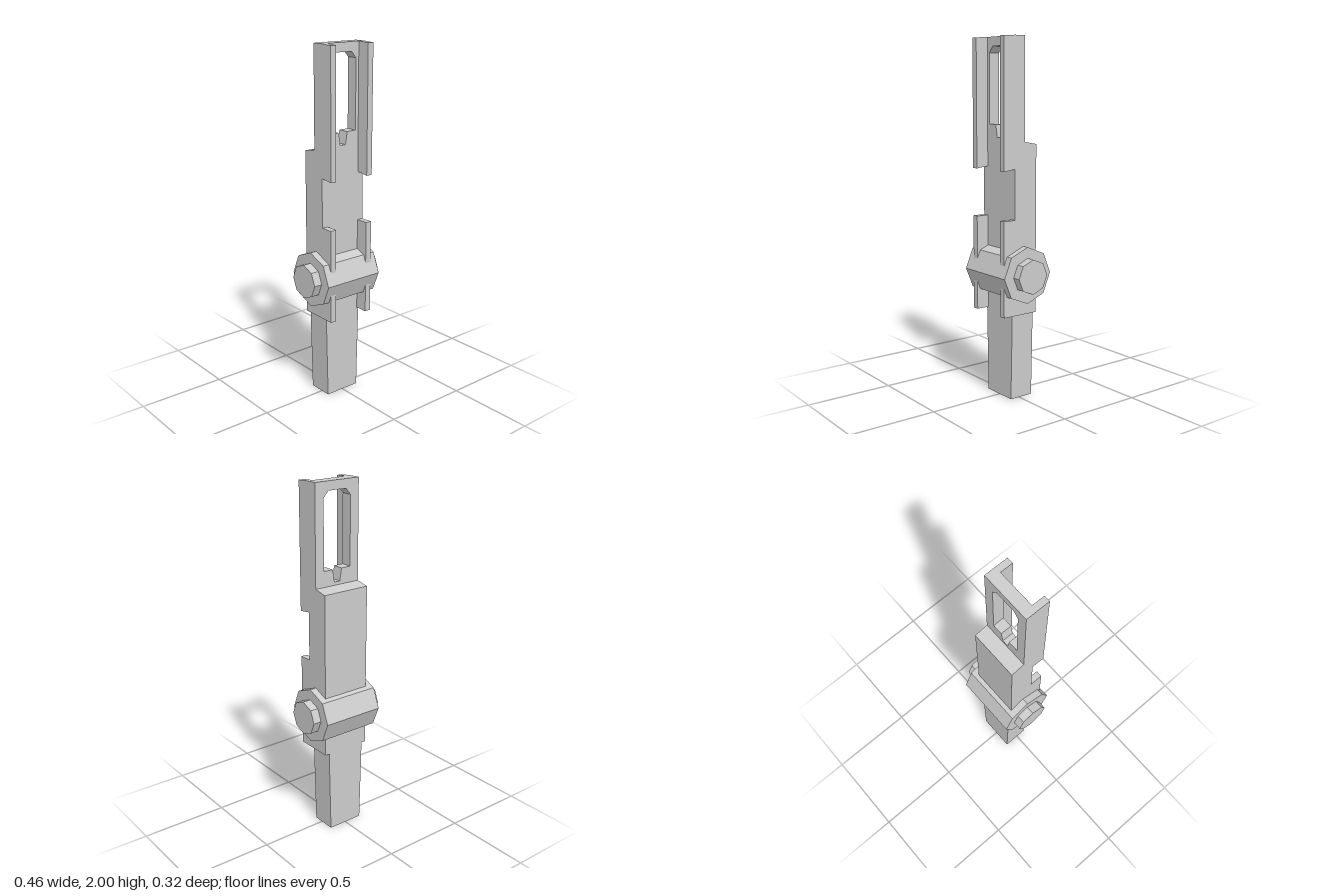
import * as THREE from 'three';

const BACK = -0.087, FACE = 0.057, FRONT = 0.131, STEP = -0.008, HALF = 0.143;

export function createModel() {
  const model = new THREE.Group();
  const material = new THREE.MeshStandardMaterial({ color: 0xcccccc, flatShading: true });

  const add = (name, geometry) => {
    const mesh = new THREE.Mesh(geometry, material);
    mesh.name = name;
    model.add(mesh);
    return mesh;
  };
  const outline = (points) => new THREE.Shape(points.map(([x, y]) => new THREE.Vector2(x, y)));

  // Front outline (x, y) extruded from z0 to z1
  const frontExtrude = (shape, z0, z1) =>
    new THREE.ExtrudeGeometry(shape, { depth: z1 - z0, bevelEnabled: false }).translate(0, 0, z0);

  // Side outline (z, y) extruded across x, centred on cx
  const sideExtrude = (points, width, cx = 0) =>
    new THREE.ExtrudeGeometry(outline(points), { depth: width, bevelEnabled: false })
      .translate(0, 0, -width / 2)
      .rotateY(-Math.PI / 2)
      .translate(cx, 0, 0);

  // Tapered tang at the bottom
  add('tang', frontExtrude(
    outline([[-0.107, 0], [0.107, 0], [0.118, 0.49], [-0.118, 0.49]]), BACK, FACE));

  // Main body with a slightly sloped rear shoulder
  add('body', sideExtrude(
    [[BACK, 0.49], [FACE, 0.49], [FACE, 1.442], [STEP, 1.442], [BACK, 1.427]], HALF * 2));

  // Upper plate with a notched window
  const plate = outline([[-HALF, 1.442], [HALF, 1.442], [HALF, 2], [-HALF, 2]]);
  plate.holes.push(new THREE.Path([
    [-0.088, 1.53], [-0.088, 1.915], [-0.058, 1.95], [0.058, 1.95], [0.088, 1.915],
    [0.088, 1.53], [0.03, 1.53], [0.018, 1.46], [-0.018, 1.46], [-0.03, 1.53],
  ].map(([x, y]) => new THREE.Vector2(x, y))));
  add('windowPlate', frontExtrude(plate, STEP, FACE));

  // Raised side rails, interrupted in the middle
  const railWidth = 0.036;
  for (const [side, sign] of [['left', 1], ['right', -1]]) {
    const cx = sign * (HALF - railWidth / 2);
    add(side + 'UpperRail', sideExtrude(
      [[FACE, 1.298], [FRONT, 1.288], [FRONT, 1.996], [FACE, 2]], railWidth, cx));
    add(side + 'LowerRail', sideExtrude(
      [[FACE, 0.49], [FRONT, 0.49], [FRONT, 1.022], [FACE, 1.022]], railWidth, cx));
  }

  // Octagonal cross barrel and the smaller pin through it
  const crossBar = (name, radius, width) =>
    add(name, new THREE.CylinderGeometry(radius, radius, width, 8).rotateZ(Math.PI / 2))
      .position.set(0, 0.716, 0);
  crossBar('crossBarrel', 0.158, 0.364);
  crossBar('crossPin', 0.097, 0.46);

  return model;
}
